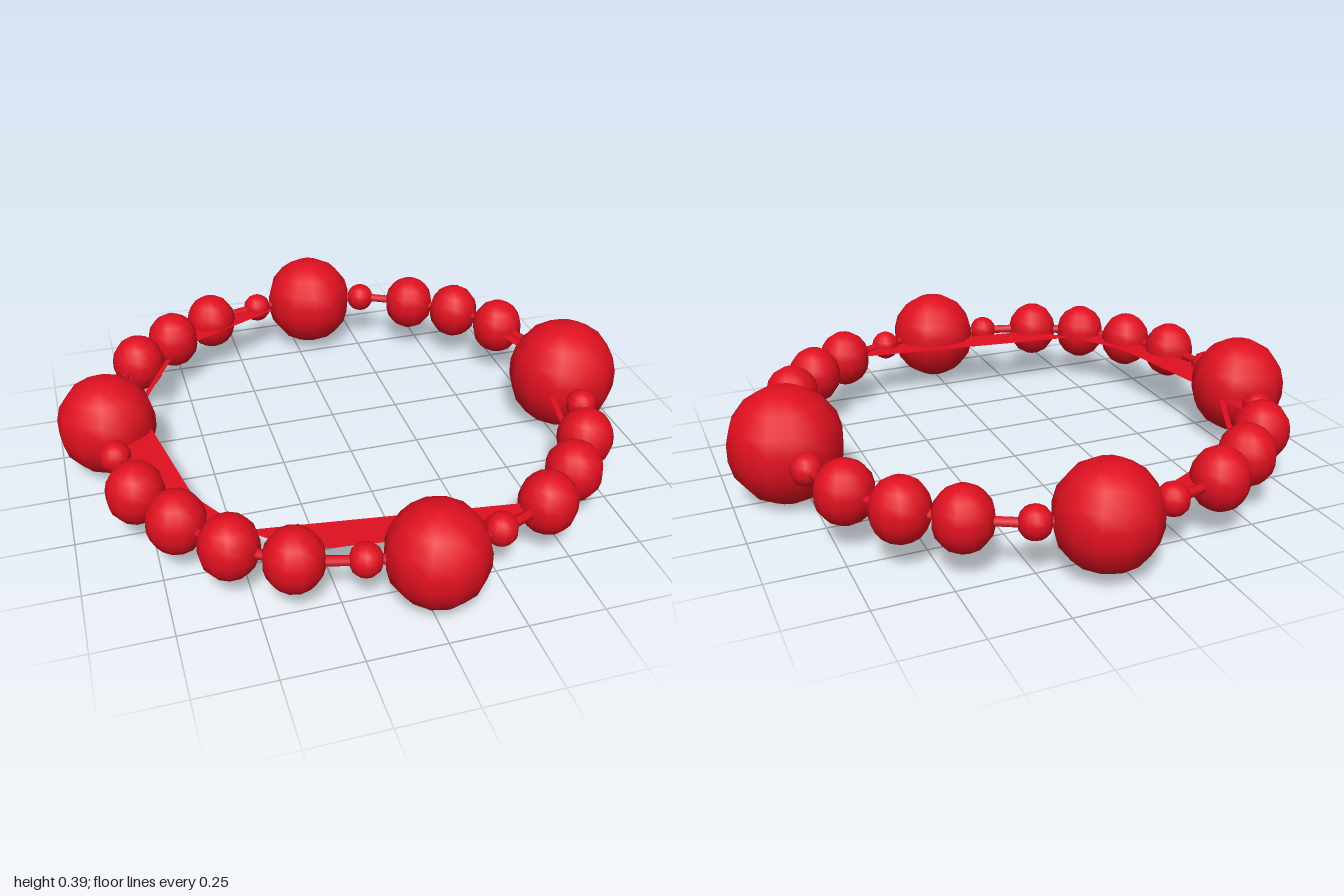
import * as THREE from 'three';

const MID = 0.2; // height of the bracelet's centre plane

// Beads in order around the ring: [x, z, radius]
const L = 0.165, M = 0.094, S = 0.052;
const BEADS = [
  [0.81, 0.0, 0.19], [0.78, 0.22, S], [0.70, 0.41, M], [0.58, 0.57, M], [0.43, 0.70, M], [0.24, 0.78, S],
  [0.02, 0.83, 0.16], [-0.19, 0.80, S], [-0.39, 0.74, M], [-0.56, 0.63, M], [-0.69, 0.47, M], [-0.79, 0.29, M],
  [-0.83, 0.08, S], [-0.835, -0.13, L], [-0.78, -0.34, S], [-0.68, -0.51, M], [-0.53, -0.65, M], [-0.36, -0.76, M],
  [-0.16, -0.82, S], [0.06, -0.83, L], [0.27, -0.79, S], [0.45, -0.69, M], [0.60, -0.57, M], [0.72, -0.40, M],
  [0.79, -0.21, S],
];

// Slightly squared, faceted round bead of unit radius
function beadGeometry() {
  const half = [[0, 1.03], [0.34, 0.99], [0.68, 0.79], [0.92, 0.47], [1, 0.16]];
  const lower = half.map(([r, y]) => [r, -y]);
  const profile = [...lower, ...half.slice().reverse()].map(([r, y]) => new THREE.Vector2(r, y));
  return new THREE.LatheGeometry(profile, 12);
}

// Thin flat piece of stretched cord, outlined in x and z
function webGeometry(outline) {
  const shape = new THREE.Shape(outline.map(([x, z]) => new THREE.Vector2(x, -z)));
  return new THREE.ShapeGeometry(shape).rotateX(-Math.PI / 2).translate(0, MID, 0);
}

export function createModel() {
  const group = new THREE.Group();
  const red = new THREE.MeshStandardMaterial({ color: 0xe01020 });
  const redThin = new THREE.MeshStandardMaterial({ color: 0xe01020, side: THREE.DoubleSide });

  // Beads
  const bead = beadGeometry();
  for (const [x, z, r] of BEADS) {
    const mesh = new THREE.Mesh(bead, red);
    mesh.name = r > 0.12 ? 'largeBead' : r > 0.07 ? 'mediumBead' : 'spacerBead';
    mesh.position.set(x, MID, z);
    mesh.scale.set(r, r > 0.07 && r < 0.12 ? r * 1.07 : r, r);
    mesh.rotation.y = r > 0.18 ? 0 : Math.atan2(-z, x);
    group.add(mesh);
  }

  // Cord threaded through every bead
  const path = new THREE.CatmullRomCurve3(BEADS.map(([x, z]) => new THREE.Vector3(x, MID, z)), true);
  const cord = new THREE.Mesh(new THREE.TubeGeometry(path, 150, 0.017, 6, true), red);
  cord.name = 'cord';
  group.add(cord);

  // Flat stretches of cord bridging the inside of the ring
  const webs = [
    [[-0.50, 0.57], [0.40, 0.69], [0.24, 0.77], [-0.12, 0.74], [-0.36, 0.71]],
    [[-0.72, -0.44], [-0.71, -0.14], [-0.62, 0.36], [-0.49, 0.58], [-0.58, 0.62], [-0.70, 0.42], [-0.82, 0.04], [-0.75, -0.3]],
    [[-0.53, -0.57], [-0.10, -0.78], [-0.14, -0.82], [-0.36, -0.75], [-0.53, -0.65]],
    [[-0.58, -0.50], [-0.71, -0.24], [-0.69, -0.24], [-0.56, -0.50]],
    [[0.70, 0.12], [0.65, 0.35], [0.67, 0.35], [0.72, 0.12]],
    [[0.70, -0.34], [0.76, -0.12], [0.81, -0.16], [0.77, -0.34]],
  ];
  for (const outline of webs) {
    const web = new THREE.Mesh(webGeometry(outline), redThin);
    web.name = 'stretchedCord';
    group.add(web);
  }
  return group;
}
